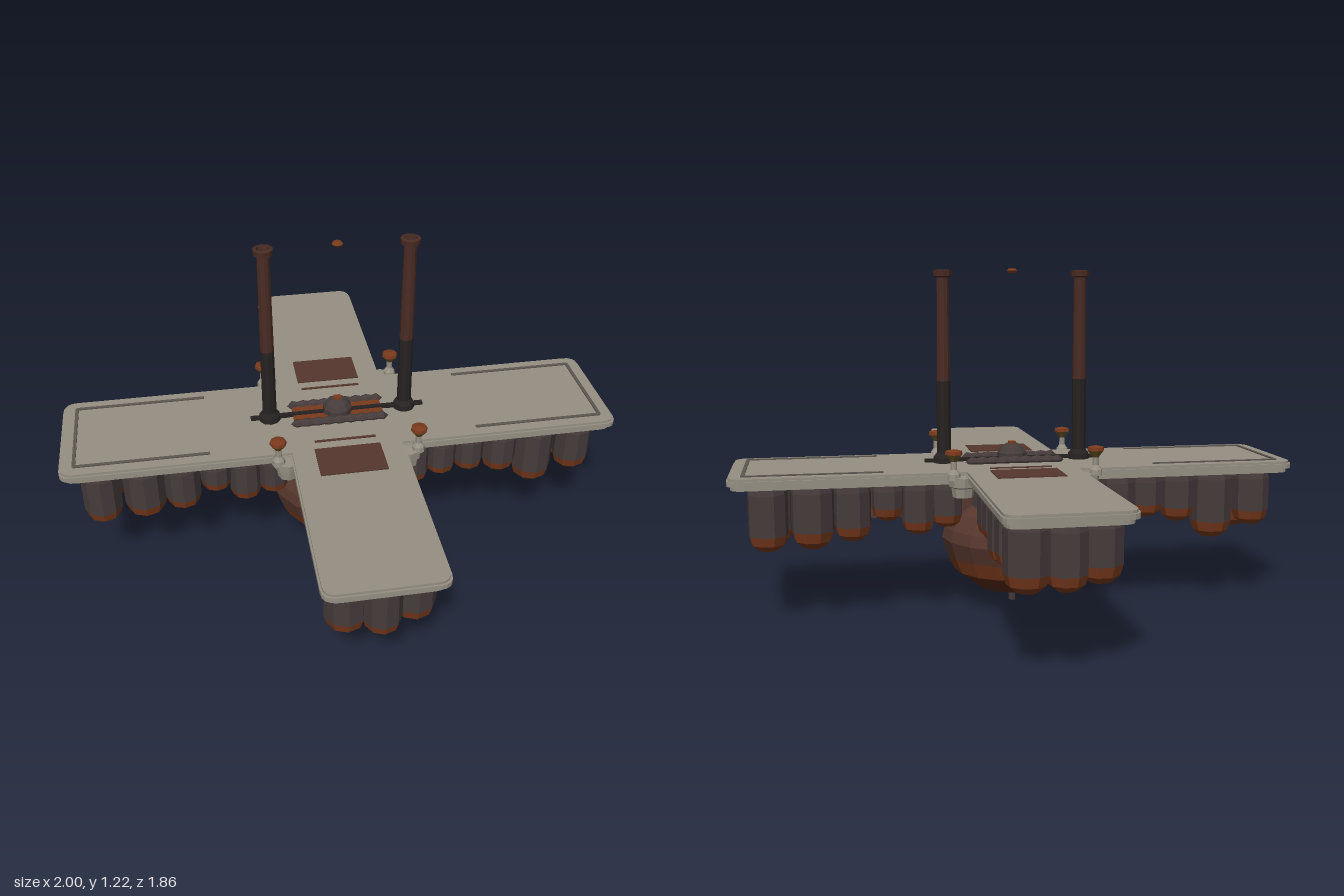
import * as THREE from 'three';

const mat = (name, hex, extra) => {
  const m = new THREE.MeshStandardMaterial({ color: hex, flatShading: true, ...extra });
  m.name = name;
  return m;
};

export function createModel() {
  const root = new THREE.Group();
  root.name = 'floatingPlatform';
  const stone = mat('stone', 0x969083);
  const trim = mat('darkTrim', 0x5c564e);
  const rock = mat('podGrey', 0x463b3b);
  const rust = mat('rust', 0x7a3a1c);
  const darkRust = mat('darkRust', 0x5a2a17);
  const brown = mat('brown', 0x55362d);
  const chimney = mat('chimneyBrown', 0x4a2c24, { side: THREE.DoubleSide });
  const soot = mat('soot', 0x272222, { side: THREE.DoubleSide });
  const brass = mat('brass', 0x6e5a2a);

  const add = (name, geo, m, x = 0, y = 0, z = 0, parent = root) => {
    const mesh = new THREE.Mesh(geo, m);
    mesh.name = name;
    mesh.position.set(x, y, z);
    parent.add(mesh);
    return mesh;
  };
  const box = (name, w, h, d, m, x, y, z, parent) => add(name, new THREE.BoxGeometry(w, h, d), m, x, y, z, parent);
  const lathe = (name, pts, seg, m, x = 0, y = 0, z = 0, parent) =>
    add(name, new THREE.LatheGeometry(pts.map(p => new THREE.Vector2(p[0], p[1])), seg), m, x, y, z, parent);

  // Cross-shaped deck in stacked layers, rounded at the outer corners
  const deckLayer = (name, inset, y, h, m) => {
    const X = 1 - inset, Z = 0.93 - inset, w = 0.203 - inset, d = 0.225 - inset, r = 0.045;
    const s = new THREE.Shape();
    s.moveTo(X, -d + r);
    s.lineTo(X, d - r); s.quadraticCurveTo(X, d, X - r, d);
    s.lineTo(w, d); s.lineTo(w, Z - r); s.quadraticCurveTo(w, Z, w - r, Z);
    s.lineTo(-w + r, Z); s.quadraticCurveTo(-w, Z, -w, Z - r);
    s.lineTo(-w, d); s.lineTo(-X + r, d); s.quadraticCurveTo(-X, d, -X, d - r);
    s.lineTo(-X, -d + r); s.quadraticCurveTo(-X, -d, -X + r, -d);
    s.lineTo(-w, -d); s.lineTo(-w, -Z + r); s.quadraticCurveTo(-w, -Z, -w + r, -Z);
    s.lineTo(w - r, -Z); s.quadraticCurveTo(w, -Z, w, -Z + r);
    s.lineTo(w, -d); s.lineTo(X - r, -d); s.quadraticCurveTo(X, -d, X, -d + r);
    const g = new THREE.ExtrudeGeometry(s, { depth: h, bevelEnabled: false, curveSegments: 4 });
    g.rotateX(-Math.PI / 2);
    add(name, g, m, 0, y, 0);
  };
  deckLayer('deckUnderside', 0.012, 0.483, 0.016, stone);
  deckLayer('deckRim', 0, 0.499, 0.017, stone);
  deckLayer('deckTop', 0.006, 0.516, 0.009, stone);

  // Groove frames on the long arms
  for (const s of [-1, 1]) {
    for (const z of [-0.175, 0.175]) box('grooveLong', 0.47, 0.006, 0.012, trim, s * 0.715, 0.526, z);
    box('grooveEnd', 0.012, 0.006, 0.35, trim, s * 0.948, 0.526, 0);
    // Brown hatches and slots on the short arms
    box('hatch', 0.235, 0.006, 0.15, brown, 0, 0.526, s * 0.29);
    box('slot', 0.22, 0.006, 0.009, brown, 0, 0.526, s * 0.17);
  }

  // Hanging pods: grey shaft with a faceted rust tip
  const pods = new THREE.Group();
  pods.name = 'pods';
  root.add(pods);
  const pod = (x, z, r, bottom) => {
    const split = bottom + r * 0.85;
    lathe('podShaft', [[r, split], [r, 0.46], [r * 0.88, 0.492]], 9, rock, x, 0, z, pods);
    lathe('podTip', [[0, bottom], [r * 0.5, bottom + 0.005], [r * 0.86, bottom + r * 0.38], [r, split]], 9, rust, x, 0, z, pods);
  };
  const longArm = [[0.87, 0.068, 0.26], [0.72, 0.075, 0.24], [0.585, 0.064, 0.285], [0.465, 0.056, 0.33], [0.36, 0.058, 0.3], [0.26, 0.055, 0.3]];
  const shortArm = [[0.8, 0.072, 0.265], [0.665, 0.064, 0.28], [0.545, 0.06, 0.285], [0.435, 0.056, 0.305], [0.335, 0.055, 0.32]];
  for (const s of [-1, 1]) {
    for (const side of [-1, 1]) {
      longArm.forEach(([p, r, b], i) => pod(s * p, side * (0.205 - r), r, b + 0.022 * ((i + (s * side > 0 ? 1 : 0)) % 2)));
      shortArm.forEach(([p, r, b], i) => pod(side * (0.182 - r), s * p, r, b + 0.02 * ((i + (s * side > 0 ? 1 : 0)) % 2)));
    }
    pod(s * 0.86, 0, 0.072, 0.25);
    pod(0, s * 0.84, 0.065, 0.275);
    // Keel beams running from the hull under each arm
    box('keelLong', 0.5, 0.13, 0.09, brown, s * 0.4, 0.405, 0);
    box('keelShort', 0.09, 0.13, 0.46, brown, 0, 0.405, s * 0.38);
  }

  // Central hull bowl in bands, with its neck and drain pipe
  lathe('hullBase', [[0, 0.058], [0.12, 0.06], [0.145, 0.075], [0.215, 0.13]], 16, darkRust);
  lathe('hullBand', [[0.215, 0.13], [0.24, 0.185]], 16, rust);
  lathe('hullUpper', [[0.24, 0.185], [0.26, 0.25], [0.25, 0.29], [0.21, 0.345], [0.15, 0.38]], 16, brown);
  add('hullNeck', new THREE.CylinderGeometry(0.15, 0.17, 0.13, 12), rock, 0, 0.43, 0);
  add('drainPipe', new THREE.CylinderGeometry(0.013, 0.013, 0.07, 8), rock, 0, 0.035, 0);
  add('drainCollar', new THREE.CylinderGeometry(0.055, 0.05, 0.01, 8), darkRust, 0, 0.056, 0);

  // Chimneys with sooty lower half, open at the top
  for (const s of [-1, 1]) {
    const g = new THREE.Group();
    g.name = 'chimney';
    g.position.x = s * 0.25;
    root.add(g);
    lathe('chimneyLower', [[0.04, 0.525], [0.038, 0.545], [0.026, 0.56], [0.025, 0.82]], 10, soot, 0, 0, 0, g);
    lathe('chimneyUpper', [[0.025, 0.82], [0.022, 1.185], [0.033, 1.19], [0.035, 1.21], [0.023, 1.212], [0.02, 1.18], [0.02, 0.83]], 10, chimney, 0, 0, 0, g);
    box('footBar', 0.14, 0.012, 0.016, soot, 0, 0.533, 0, g);
  }

  // Corner brackets and mooring posts with brass knobs
  for (const sx of [-1, 1]) for (const sz of [-1, 1]) {
    lathe('cornerBracket', [[0, 0.443], [0.036, 0.443], [0.04, 0.475], [0.048, 0.48], [0.05, 0.512], [0, 0.514]], 8, stone, sx * 0.215, 0, sz * 0.233);
    lathe('postStem', [[0.024, 0.505], [0.022, 0.525], [0.011, 0.54], [0.011, 0.572]], 8, stone, sx * 0.248, 0, sz * 0.248);
    lathe('postKnob', [[0.011, 0.568], [0.02, 0.58], [0.03, 0.592]], 8, brass, sx * 0.248, 0, sz * 0.248);
    lathe('postCap', [[0.03, 0.592], [0.028, 0.604], [0, 0.61]], 8, rust, sx * 0.248, 0, sz * 0.248);
  }

  // Engine on the deck: rust bed, beaded pipes, dome and cross rod
  box('engineBed', 0.33, 0.01, 0.1, rust, 0, 0.529, 0);
  box('engineRod', 0.5, 0.012, 0.016, soot, 0, 0.534, 0);
  for (const z of [-0.058, 0.058]) {
    const pipe = [];
    for (let i = 0; i <= 18; i++) pipe.push([i % 18 === 0 ? 0 : i % 2 ? 0.018 : 0.013, -0.18 + i * 0.02]);
    lathe('beadedPipe', pipe, 8, rock, 0, 0.532, z).rotation.z = Math.PI / 2;
  }
  lathe('engineDome', [[0.053, 0.525], [0.053, 0.555], [0.04, 0.575], [0.022, 0.588], [0, 0.59]], 10, rock);
  box('domeCap', 0.026, 0.008, 0.026, rust, 0, 0.591, 0);

  // Small beacon hovering above the centre
  lathe('beacon', [[0, 1.2], [0.012, 1.201], [0.02, 1.209], [0.013, 1.217], [0, 1.218]], 8, rust);
  return root;
}
